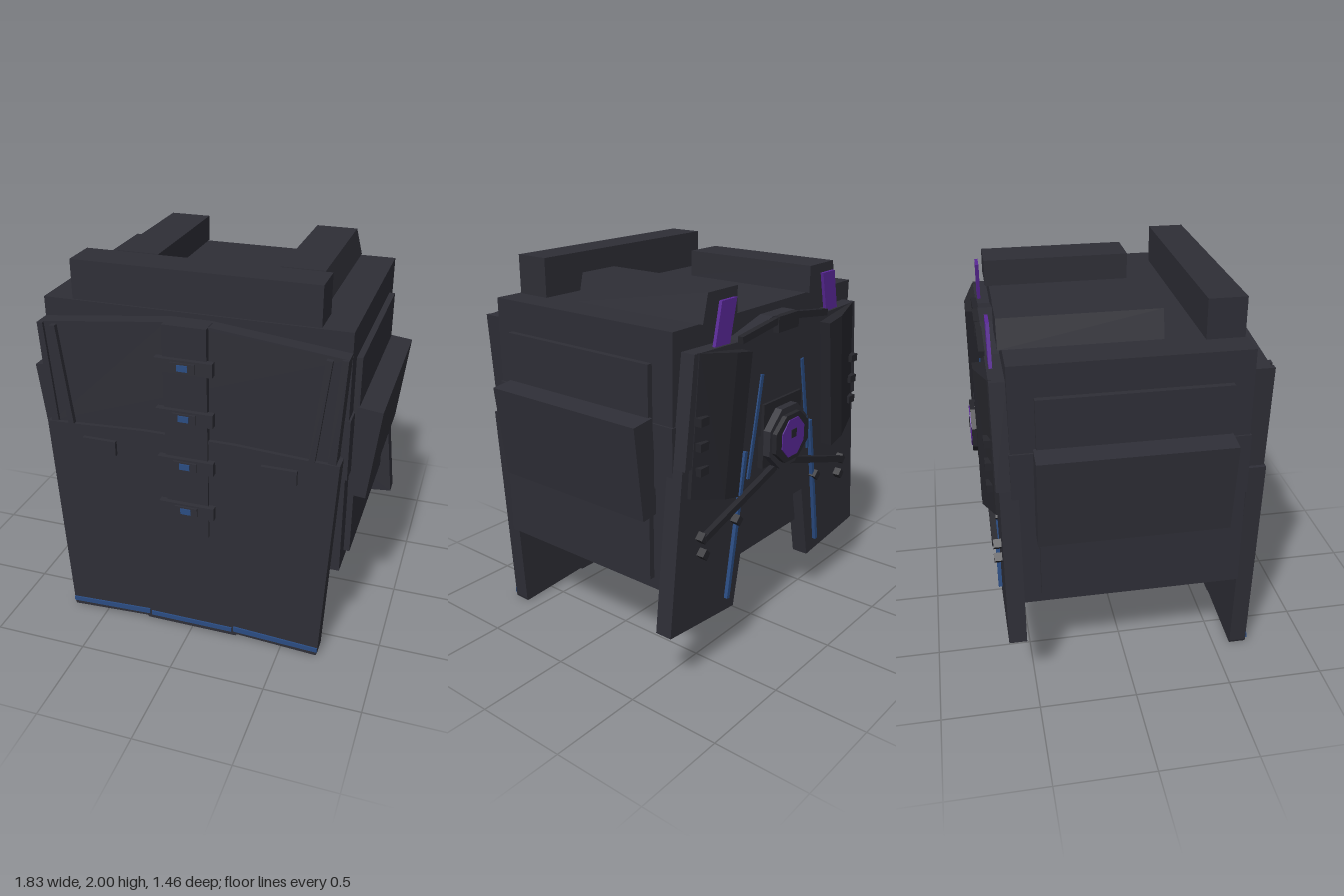
import * as THREE from 'three';

const mat = (name, color) => Object.assign(new THREE.MeshStandardMaterial({ color }), { name });

export function createModel() {
  const model = new THREE.Group();
  model.name = 'armouredPack';
  const shell = mat('charcoal', 0x2e2e36);
  const dark = mat('dark charcoal', 0x25252b);
  const blue = mat('blue', 0x2a4c82);
  const purple = mat('purple', 0x5a2898);

  const add = (name, geo, m) => {
    const mesh = new THREE.Mesh(geo, m);
    mesh.name = name;
    model.add(mesh);
    return mesh;
  };
  // box given by its limits
  const box = (name, m, x0, x1, y0, y1, z0, z1) => add(name,
    new THREE.BoxGeometry(x1 - x0, y1 - y0, z1 - z0)
      .translate((x0 + x1) / 2, (y0 + y1) / 2, (z0 + z1) / 2), m);
  // outline in x and y, extruded from z0 to z1
  const plateGeo = (pts, z0, z1) => new THREE.ExtrudeGeometry(
    new THREE.Shape(pts.map(([x, y]) => new THREE.Vector2(x, y))),
    { depth: z1 - z0, bevelEnabled: false }).translate(0, 0, z0);
  const plate = (name, m, pts, z0, z1) => add(name, plateGeo(pts, z0, z1), m);
  const flip = (pts, s) => pts.map(([x, y]) => [x * s, y]);
  const whole = (half) => [...half, ...flip(half, -1).reverse()];
  // straight bar between two points in x and y
  const bar = (name, m, [ax, ay], [bx, by], w, z0, z1) => {
    const l = Math.hypot(bx - ax, by - ay);
    const px = -(by - ay) / l * w / 2, py = (bx - ax) / l * w / 2;
    return plate(name, m, [[ax + px, ay + py], [ax - px, ay - py],
      [bx - px, by - py], [bx + px, by + py]], z0, z1);
  };

  // main box, waist band and top bars
  box('body', shell, -0.77, 0.77, 0.5, 1.8, -0.57, 0.58);
  box('waistBand', shell, -0.78, 0.78, 1.04, 1.36, -0.575, 0.585);
  box('frontTopBar', shell, -0.62, 0.62, 1.8, 2.0, 0.38, 0.57);

  // front plates
  plate('frontApron', shell, whole([[0, 0.02], [0.25, 0.02], [0.26, 0.03], [0.695, 0.005],
    [0.7, 0.02], [0.76, 1.165], [0.61, 1.17], [0.24, 1.19], [0, 1.19]].slice(1, 8)), 0.59, 0.68);
  plate('chestPlate', shell, whole([[0.24, 1.185], [0.74, 1.16], [0.77, 1.7], [0.1, 1.775]]), 0.575, 0.66);
  box('centreStrip', shell, -0.11, 0.11, 0.635, 1.775, 0.59, 0.692);
  for (const y of [1.58, 1.315, 1.05, 0.79]) {
    box('buckle', shell, -0.145, 0.145, y - 0.035, y + 0.035, 0.68, 0.715);
    box('buckleCollar', shell, -0.06, 0.06, y - 0.024, y + 0.024, 0.71, 0.724);
    box('buckleLight', blue, -0.027, 0.027, y - 0.016, y + 0.016, 0.722, 0.729);
  }
  box('hemLight', blue, -0.23, 0.23, 0.045, 0.07, 0.68, 0.688);

  // back plate with two legs
  plate('backPlate', shell, whole([[0.27, 0.72], [0.36, 0.28], [0.865, 0.33], [0.775, 1.165]]), -0.63, -0.54);
  plate('upperBackPlate', shell, whole([[0.775, 1.165], [0.71, 1.7], [0.36, 1.69], [0.1, 1.76]]), -0.645, -0.565);
  box('backCollar', dark, -0.09, 0.09, 1.68, 1.76, -0.675, -0.64);

  // octagonal core
  const octagon = (rx, ry) => Array.from({ length: 8 }, (_, i) => {
    const a = (i + 0.5) * Math.PI / 4;
    return [Math.cos(a) * rx / 0.924, 1.13 + Math.sin(a) * ry / 0.924];
  });
  box('coreMount', dark, -0.17, 0.17, 0.99, 1.33, -0.66, -0.62);
  plate('coreBase', shell, octagon(0.17, 0.16), -0.7, -0.64);
  plate('coreRing', dark, octagon(0.15, 0.125), -0.725, -0.69);
  plate('coreLight', purple, octagon(0.1, 0.1), -0.73, -0.722);
  box('coreStud', dark, -0.022, 0.022, 1.13, 1.175, -0.734, -0.725);

  for (const s of [1, -1]) {
    // shoulder bars with a sloping outer face
    const a = [[0.32, 1.8], [0.58, 1.8], [0.545, 1.94], [0.32, 1.94]];
    plate('rearTopBar', shell, flip(a, s), -0.59, 0.19);

    // side panels and flared side pouch
    box('sidePanel', shell, s > 0 ? 0.76 : -0.8, s > 0 ? 0.8 : -0.76, 0.56, 1.64, -0.45, 0.48);
    plate('sidePouch', shell, flip([[0.76, 0.905], [0.86, 0.895], [0.915, 1.375], [0.79, 1.39]], s), -0.465, 0.485);

    // front details
    bar('chestRib', shell, [s * 0.685, 1.695], [s * 0.625, 1.17], 0.03, 0.65, 0.685);
    plate('chestEdge', shell, flip([[0.7, 1.17], [0.74, 1.165], [0.77, 1.7], [0.74, 1.7]], s), 0.65, 0.675);
    plate('frontPocket', shell, flip([[0.38, 1.03], [0.56, 1.03], [0.56, 1.11], [0.38, 1.11]], s), 0.67, 0.7);
    plate('hemLight', blue, flip([[0.24, 0.05], [0.7, 0.03], [0.7, 0.055], [0.24, 0.08]], s), 0.68, 0.688);

    // raised back wing: flat ridge and outer part sloping down
    plate('wingRidge', dark, flip([[0.35, 1.65], [0.47, 1.67], [0.55, 0.97], [0.44, 0.945]], s), -0.705, -0.64);
    const slope = plateGeo(flip([[0.47, 1.67], [0.68, 1.7], [0.74, 1.02], [0.55, 0.97]], s), -0.705, -0.63);
    const p = slope.attributes.position;
    for (let i = 0; i < p.count; i++) {
      if (p.getZ(i) < -0.7 && Math.abs(p.getX(i)) > 0.6) p.setZ(i, -0.65);
    }
    slope.computeVertexNormals();
    add('wingSlope', slope, dark);
    for (const y of [1.13, 1.25, 1.37]) {
      plate('wingTooth', dark, flip([[0.65, y], [0.71, y], [0.71, y + 0.04], [0.65, y + 0.04]], s), -0.685, -0.64);
    }

    // purple fin, collar arm and light strips
    plate('purpleFin', purple, flip([[0.43, 1.69], [0.545, 1.68], [0.495, 1.9], [0.38, 1.9]], s), -0.632, -0.615);
    bar('collarArm', dark, [s * 0.38, 1.7], [s * 0.08, 1.74], 0.035, -0.67, -0.64);
    bar('upperLightStrip', blue, [s * 0.18, 1.49], [s * 0.28, 0.97], 0.022, -0.653, -0.644);
    bar('lowerLightStrip', blue, [s * 0.3, 1.12], [s * 0.43, 0.36], 0.022, -0.65, -0.628);

    // rods below the core
    bar('coreRod', dark, [s * 0.06, 0.97], [s * 0.65, 0.79], 0.035, -0.675, -0.645);
    for (const [x, y] of [[0.65, 0.79], [0.37, 0.78], [0.64, 0.7]]) {
      plate('rodEnd', dark, flip([[x - 0.03, y], [x, y - 0.03], [x + 0.03, y], [x, y + 0.03]], s), -0.67, -0.62);
    }
  }
  return model;
}
